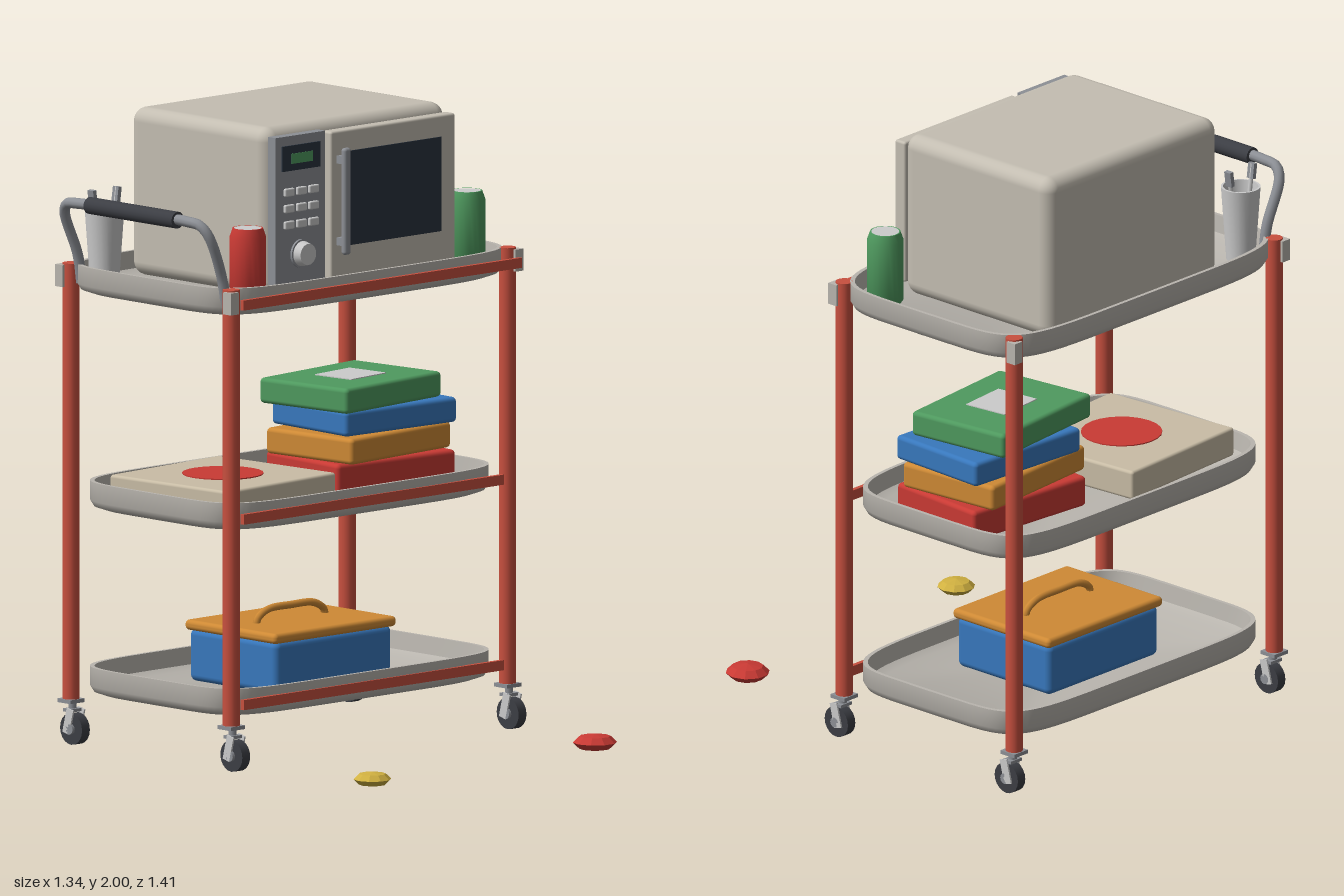
import * as THREE from 'three';
import { RoundedBoxGeometry } from 'three/addons/geometries/RoundedBoxGeometry.js';
import { toCreasedNormals } from 'three/addons/utils/BufferGeometryUtils.js';

const mat = (color, extra = {}) => new THREE.MeshStandardMaterial({ color, ...extra });
const GREY = mat(0xcccccc), SHELL = mat(0xc4beb2), TRAY = mat(0xb9b5ae), RED = mat(0xc8503f), CANRED = mat(0xc93a34);
const GREEN = mat(0x4f9a5f), BLUE = mat(0x3878bd), ORANGE = mat(0xcf8a35), CARD = mat(0xc9bda6);
const DARK = mat(0x3c3e44), GLASS = mat(0x29333f), METAL = mat(0x8d9096);
const CX = 0.03, CZ = -0.292, PX = 0.6, PZ = 0.364;

function add(parent, name, geo, material, x = 0, y = 0, z = 0) {
  const m = new THREE.Mesh(geo, material);
  m.name = name;
  m.position.set(x, y, z);
  parent.add(m);
  return m;
}
const box = (w, h, d) => new THREE.BoxGeometry(w, h, d);
const rbox = (w, h, d, r) => new RoundedBoxGeometry(w, h, d, 3, r);
const cyl = (r1, r2, h, n = 20) => new THREE.CylinderGeometry(r1, r2, h, n);
const lathe = (pts, n = 20) =>
  toCreasedNormals(new THREE.LatheGeometry(pts.map(p => new THREE.Vector2(...p)), n), 0.7);
const group = (parent, name) => {
  const g = new THREE.Group();
  g.name = name;
  parent.add(g);
  return g;
};

// Dished tray: superellipse rings running from the underside, over the rim, to the floor
function trayGeometry(a, b, h) {
  const N = 64, e = 2 / 6, pos = [], idx = [];
  const rings = [[1, 0], [0.035, 0], [0.01, 0.01], [0, 0.03], [0, h], [0.012, h], [0.02, 0.035], [0.045, 0.022], [1, 0.022]];
  rings.forEach(([inset, y]) => {
    const A = inset === 1 ? 0 : a - inset, B = inset === 1 ? 0 : b - inset;
    for (let i = 0; i < N; i++) {
      const t = (i / N) * Math.PI * 2, c = Math.cos(t), s = Math.sin(t);
      pos.push(A * Math.sign(c) * Math.abs(c) ** e, y, B * Math.sign(s) * Math.abs(s) ** e);
    }
  });
  for (let r = 0; r < rings.length - 1; r++)
    for (let i = 0; i < N; i++) {
      const p = r * N + i, q = r * N + ((i + 1) % N);
      idx.push(p, p + N, q, q, p + N, q + N);
    }
  const g = new THREE.BufferGeometry();
  g.setAttribute('position', new THREE.Float32BufferAttribute(pos, 3));
  g.setIndex(idx);
  return toCreasedNormals(g, 0.8);
}

function addCart(root) {
  const cart = group(root, 'cart');
  [[0.16, 0.605, 0.378, 1.13, 0.085], [0.75, 0.605, 0.378, 1.13, 0.085], [1.44, 0.638, 0.41, 1.21, 0.125]].forEach(([y, a, b, w, z]) => {
    add(cart, 'tray', trayGeometry(a, b, 0.09), TRAY, CX, y, CZ);
    add(cart, 'frontRail', box(w, 0.032, 0.014), RED, CX, y + 0.046, z);
  });
  for (const sx of [-1, 1])
    for (const sz of [-1, 1]) {
      const x = CX + sx * PX, z = CZ + sz * PZ;
      add(cart, 'post', cyl(0.027, 0.027, 1.39, 16), RED, x, 0.835, z);
      add(cart, 'cornerBracket', box(0.035, 0.07, 0.035), TRAY, x + sx * 0.018, 1.49, z + sz * 0.018);
      // Swivel caster
      const c = group(cart, 'caster');
      c.position.set(x, 0, z + 0.018);
      add(c, 'casterPlate', box(0.062, 0.012, 0.06), METAL, 0, 0.138, -0.018);
      add(c, 'casterStem', cyl(0.013, 0.013, 0.03, 12), METAL, 0, 0.12, -0.012);
      add(c, 'forkBridge', box(0.05, 0.01, 0.036), METAL, 0, 0.109, -0.01);
      for (const s of [-1, 1])
        add(c, 'forkArm', box(0.006, 0.08, 0.03), GREY, s * 0.024, 0.075, -0.005).rotation.x = 0.25;
      add(c, 'wheel', cyl(0.05, 0.05, 0.034, 20), DARK, 0, 0.05, 0).rotation.z = Math.PI / 2;
      add(c, 'wheelHub', cyl(0.017, 0.017, 0.054, 12), METAL, 0, 0.05, 0).rotation.z = Math.PI / 2;
    }
  // Push handle
  const path = new THREE.CatmullRomCurve3([
    [-0.56, 1.47, 0.035], [-0.575, 1.56, 0.035], [-0.632, 1.7, 0.035], [-0.645, 1.733, 0.01], [-0.648, 1.74, -0.04],
    [-0.648, 1.74, -0.54], [-0.645, 1.733, -0.595], [-0.632, 1.7, -0.62], [-0.575, 1.56, -0.62], [-0.56, 1.47, -0.62],
  ].map(p => new THREE.Vector3(...p)), false, 'centripetal');
  add(cart, 'pushHandle', new THREE.TubeGeometry(path, 60, 0.017, 10), METAL);
  add(cart, 'handleGrip', cyl(0.027, 0.027, 0.4, 16), DARK, -0.648, 1.74, -0.29).rotation.x = Math.PI / 2;
}

function addMicrowave(root) {
  const m = group(root, 'microwave');
  add(m, 'microwaveBody', rbox(0.79, 0.535, 0.63, 0.045), SHELL, 0.067, 1.7325, -0.335);
  add(m, 'controlPanel', box(0.215, 0.47, 0.035), METAL, -0.21, 1.74, -0.008);
  add(m, 'door', rbox(0.54, 0.47, 0.045, 0.008), SHELL, 0.183, 1.735, -0.002);
  add(m, 'doorWindow', box(0.4, 0.3, 0.006), GLASS, 0.188, 1.752, 0.021);
  add(m, 'display', box(0.165, 0.08, 0.008), GLASS, -0.21, 1.905, 0.011);
  add(m, 'displayReadout', box(0.09, 0.032, 0.006), GREEN, -0.208, 1.903, 0.014);
  for (let r = 0; r < 3; r++)
    for (let c = 0; c < 3; c++)
      add(m, 'button', rbox(0.042, 0.026, 0.014, 0.005), GREY, -0.262 + c * 0.053, 1.797 - r * 0.052, 0.012);
  add(m, 'dialRing', cyl(0.046, 0.046, 0.01, 24), METAL, -0.208, 1.597, 0.012).rotation.x = Math.PI / 2;
  add(m, 'dial', cyl(0.034, 0.042, 0.035, 24), GREY, -0.208, 1.597, 0.026).rotation.x = Math.PI / 2;
  add(m, 'doorHandle', rbox(0.03, 0.34, 0.022, 0.01), METAL, -0.053, 1.75, 0.053);
  for (const y of [1.62, 1.88]) add(m, 'handleMount', box(0.02, 0.025, 0.035), METAL, -0.053, y, 0.032);
}

function addCan(root, material, x, z) {
  const c = group(root, 'drinkCan');
  c.position.set(x, 1.462, z);
  add(c, 'canBody', lathe([[0, 0], [0.046, 0], [0.058, 0.018], [0.058, 0.215], [0.048, 0.244], [0.044, 0.244]]), material);
  add(c, 'canLid', cyl(0.047, 0.047, 0.006), GREY, 0, 0.239, 0);
}

function addCup(root) {
  const c = group(root, 'utensilCup');
  c.position.set(-0.497, 1.462, -0.58);
  add(c, 'cup', lathe([[0, 0], [0.046, 0], [0.063, 0.242], [0.056, 0.242], [0.042, 0.012], [0, 0.012]]), GREY);
  for (const s of [-1, 1]) {
    const u = add(c, 'utensil', cyl(0.007, 0.007, 0.28, 8), GREY, s * 0.035, 0.165, 0);
    u.rotation.z = -s * 0.14;
    add(c, 'utensilTip', box(0.014, 0.05, 0.026), METAL, s * 0.052, 0.28, 0).rotation.z = -s * 0.14;
  }
}

function addMiddleShelf(root) {
  // Stack of boxes, each turned a little
  const stack = group(root, 'boxStack');
  [[CANRED, 0.335, 0.775, 0.1, 0.48, -0.08], [ORANGE, 0.325, 0.875, 0.083, 0.475, 0.09],
    [BLUE, 0.35, 0.96, 0.08, 0.462, -0.05], [GREEN, 0.29, 1.04, 0.081, 0.465, 0.11]].forEach(([m, x, y, h, w, a]) => {
    add(stack, 'stackedBox', rbox(w, h, 0.362, 0.014), m, x, y + h / 2, -0.286).rotation.y = a;
  });
  add(stack, 'boxLabel', box(0.17, 0.004, 0.15), GREY, 0.29, 1.122, -0.286).rotation.y = 0.11;
  // Flat carton with a round patch
  const carton = group(root, 'flatCarton');
  add(carton, 'carton', rbox(0.51, 0.095, 0.5, 0.01), CARD, -0.262, 0.82, -0.288).rotation.y = 0.07;
  add(carton, 'cartonPatch', cyl(0.128, 0.128, 0.006, 24), CANRED, -0.262, 0.868, -0.288);
}

function addLunchbox(root) {
  const b = group(root, 'lidBox');
  add(b, 'boxBase', rbox(0.508, 0.168, 0.4, 0.022), BLUE, 0.03, 0.265, -0.286);
  add(b, 'boxLid', rbox(0.53, 0.033, 0.416, 0.014), ORANGE, 0.03, 0.36, -0.286);
  const arch = new THREE.CatmullRomCurve3([[-0.15, 0.365], [-0.143, 0.39], [-0.1, 0.414], [0, 0.418], [0.1, 0.414], [0.143, 0.39], [0.15, 0.365]]
    .map(([x, y]) => new THREE.Vector3(x + 0.03, y, -0.286)));
  add(b, 'lidHandle', new THREE.TubeGeometry(arch, 30, 0.012, 8), ORANGE);
}

export function createModel() {
  const root = new THREE.Group();
  root.name = 'trolley';
  addCart(root);
  addMicrowave(root);
  addCan(root, CANRED, -0.445, 0.016);
  addCan(root, GREEN, 0.558, -0.037);
  addCup(root);
  addMiddleShelf(root);
  addLunchbox(root);
  // Crumpled pebbles lying on the floor
  [[0xd0b040, -0.515, 0.655, 0.06], [0xc93a34, 0.485, 0.62, 0.07]].forEach(([color, x, z, r]) => {
    const p = add(root, 'floorPebble', new THREE.SphereGeometry(r, 10, 4), mat(color, { flatShading: true }), x, 0.036, z);
    p.scale.y = 0.4;
  });
  return root;
}
